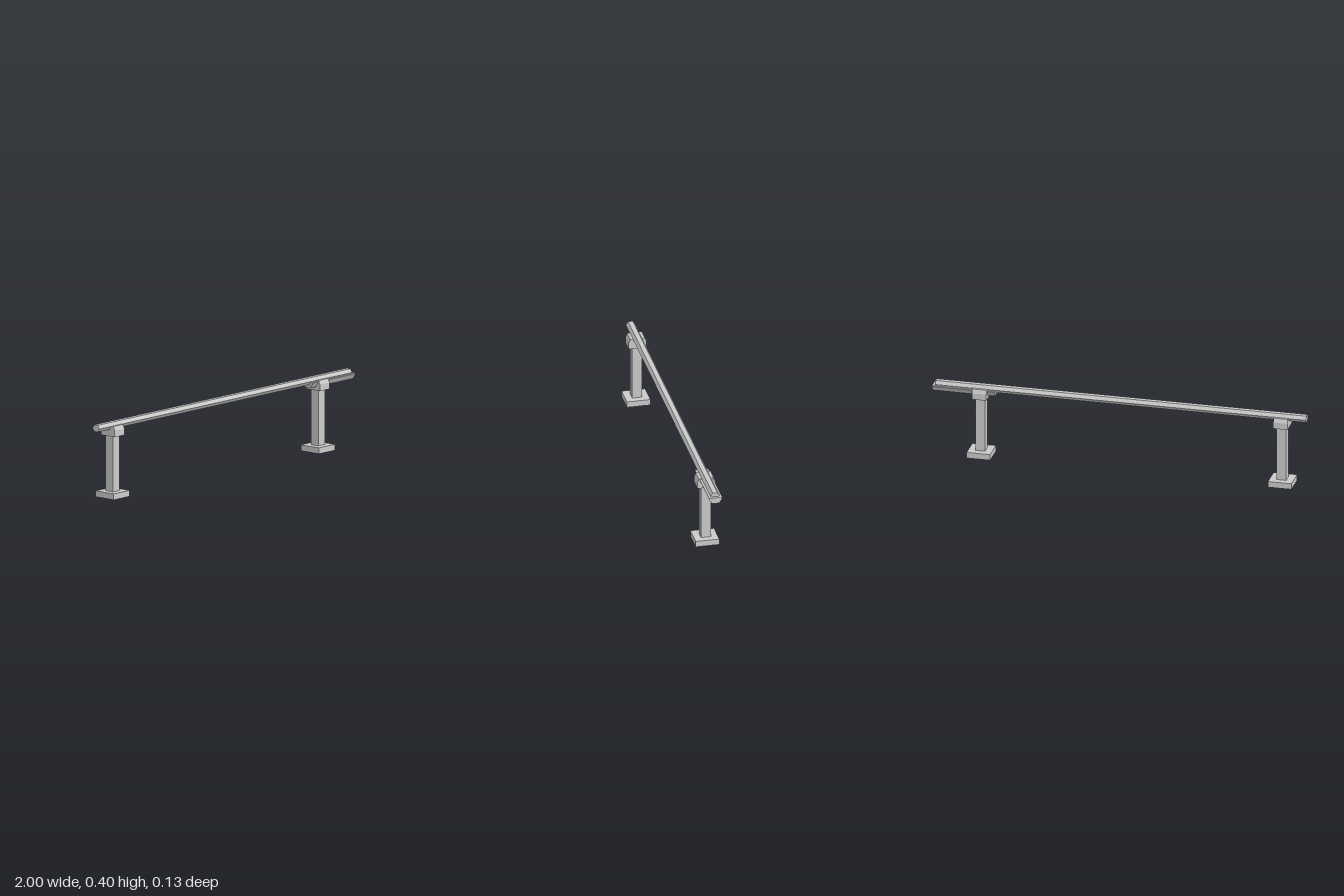
import * as THREE from 'three';

const material = new THREE.MeshStandardMaterial({ color: 0xcccccc, flatShading: true });

function add(parent, name, geometry, x = 0, y = 0) {
  const mesh = new THREE.Mesh(geometry, material);
  mesh.name = name;
  mesh.position.set(x, y, 0);
  parent.add(mesh);
  return mesh;
}

// Sweeps a [z, y] cross-section along x, from x0 to x1
function prism(section, x0, x1) {
  const shape = new THREE.Shape(section.map(([z, y]) => new THREE.Vector2(z, y)));
  const geometry = new THREE.ExtrudeGeometry(shape, { depth: x1 - x0, bevelEnabled: false });
  geometry.rotateY(Math.PI / 2);
  geometry.translate(x0, 0, 0);
  return geometry;
}

// Square foot, post and chamfered head that holds the rail
function makeSupport(x) {
  const support = new THREE.Group();
  support.name = 'support';
  support.position.x = x;
  add(support, 'foot', new THREE.BoxGeometry(0.126, 0.032, 0.126), 0, 0.016);
  add(support, 'post', new THREE.BoxGeometry(0.052, 0.296, 0.052), 0, 0.18);
  const head = [[-0.048, 0.327], [0.048, 0.327], [0.048, 0.361], [0.039, 0.382], [-0.039, 0.382], [-0.048, 0.361]];
  add(support, 'head', prism(head, -0.038, 0.038));
  return support;
}

export function createModel() {
  const model = new THREE.Group();
  model.name = 'railOnPosts';

  for (const x of [-0.869, 0.744]) model.add(makeSupport(x));

  // Hexagonal rail with flats on top and bottom
  const hexagon = Array.from({ length: 6 }, (_, i) => {
    const a = (i * Math.PI) / 3;
    return [0.025 * Math.cos(a), 0.381 + 0.021 * Math.sin(a)];
  });
  add(model, 'rail', prism(hexagon, -1, 0.985));

  // Tapered cradle under the joint end of the rail
  const cradle = [[-0.02, 0.346], [0.02, 0.346], [0.036, 0.374], [0.035, 0.378], [-0.035, 0.378], [-0.036, 0.374]];
  add(model, 'cradle', prism(cradle, 0.665, 1));

  return model;
}
